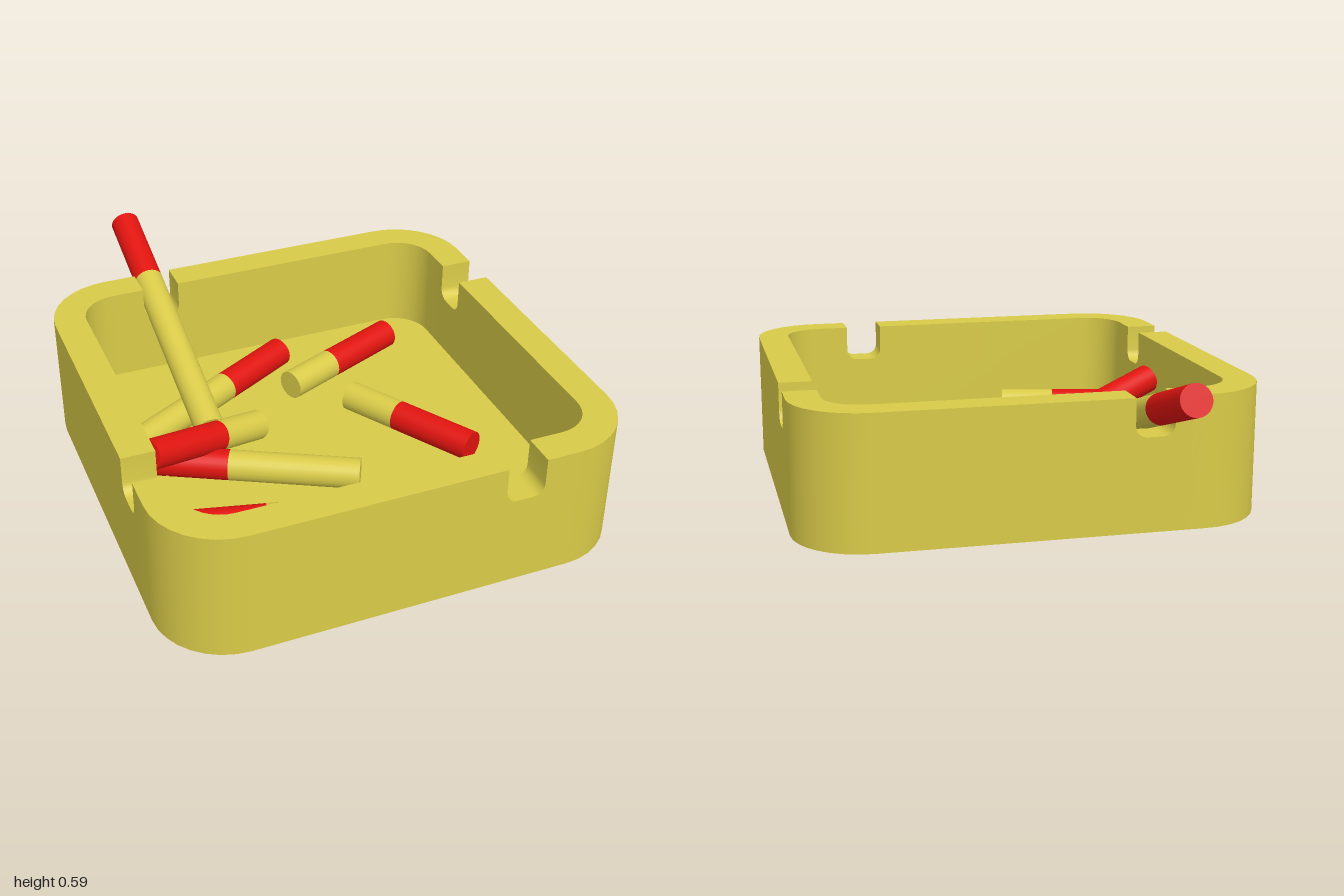
import * as THREE from 'three';
import { toCreasedNormals } from 'three/addons/utils/BufferGeometryUtils.js';

const YELLOW = new THREE.MeshStandardMaterial({ color: 0xd8ca48 });
const RED = new THREE.MeshStandardMaterial({ color: 0xe0140f });

const HALF = 0.825, WALL = 0.118, HEIGHT = 0.472, FLOOR = 0.115, CORNER = 0.255;
const NOTCH = { at: 0.38, half: 0.07, bottom: 0.335, fillet: 0.04 };
const STICK_RADIUS = 0.055;

// Wall stations of one side, then its corner: outer point, inner point, rim height
function sideStations() {
  const flat = HALF - CORNER, list = [];
  const straight = (u, top) => list.push({ o: [u, HALF], i: [u, HALF - WALL], top });
  const { at, half, bottom, fillet } = NOTCH;
  straight(-flat, HEIGHT);
  straight(at - half, HEIGHT);
  const steps = 5;
  for (const s of [-1, 1]) {
    for (let k = 0; k <= steps; k++) {
      const a = ((s < 0 ? k : steps - k) / steps) * Math.PI / 2;
      straight(at + s * (half - fillet + fillet * Math.cos(a)), bottom + fillet * (1 - Math.sin(a)));
    }
  }
  straight(at + half, HEIGHT);
  const segments = 8;
  for (let k = 0; k < segments; k++) {
    const a = (k / segments) * Math.PI / 2;
    const p = r => [flat + r * Math.sin(a), flat + r * Math.cos(a)];
    list.push({ o: p(CORNER), i: p(CORNER - WALL), top: HEIGHT });
  }
  return list;
}

// Square tray: the four identical sides joined into one closed surface
function trayGeometry() {
  const stations = [];
  let side = sideStations();
  const turn = ([x, z]) => [z, -x];
  for (let k = 0; k < 4; k++) {
    stations.push(...side);
    side = side.map(s => ({ o: turn(s.o), i: turn(s.i), top: s.top }));
  }
  const pos = [];
  const at = ([x, z], y) => [x, y, z];
  const tri = (a, b, c) => pos.push(...a, ...b, ...c);
  const quad = (a, b, c, d) => { tri(a, b, c); tri(a, c, d); };
  stations.forEach((a, n) => {
    const b = stations[(n + 1) % stations.length];
    quad(at(a.o, a.top), at(b.o, b.top), at(b.i, b.top), at(a.i, a.top)); // rim
    if (Math.hypot(a.o[0] - b.o[0], a.o[1] - b.o[1]) < 1e-6) return;
    quad(at(a.o, 0), at(b.o, 0), at(b.o, b.top), at(a.o, a.top)); // outside
    quad(at(b.i, FLOOR), at(a.i, FLOOR), at(a.i, a.top), at(b.i, b.top)); // inside
    tri([0, FLOOR, 0], at(a.i, FLOOR), at(b.i, FLOOR)); // floor
    tri([0, 0, 0], at(b.o, 0), at(a.o, 0)); // underside
  });
  const geo = new THREE.BufferGeometry();
  geo.setAttribute('position', new THREE.Float32BufferAttribute(pos, 3));
  return toCreasedNormals(geo, 0.5);
}

// One stick: red part from the red end, yellow part for the rest
function stick(name, yellowEnd, redEnd, redLength) {
  const group = new THREE.Group();
  group.name = name;
  const from = new THREE.Vector3(...yellowEnd), to = new THREE.Vector3(...redEnd);
  const dir = to.clone().sub(from);
  const length = dir.length();
  const part = (partName, start, end, material) => {
    const geo = new THREE.CylinderGeometry(STICK_RADIUS, STICK_RADIUS, end - start, 28);
    geo.translate(0, (start + end) / 2, 0);
    const mesh = new THREE.Mesh(geo, material);
    mesh.name = partName;
    group.add(mesh);
  };
  part('yellowPart', 0, length - redLength, YELLOW);
  part('redPart', length - redLength, length, RED);
  group.position.copy(from);
  group.quaternion.setFromUnitVectors(new THREE.Vector3(0, 1, 0), dir.normalize());
  return group;
}

export function createModel() {
  const model = new THREE.Group();
  model.name = 'ashtray';

  const tray = new THREE.Mesh(trayGeometry(), YELLOW);
  tray.name = 'tray';
  tray.position.z = 0.175;
  model.add(tray);

  // Stick resting in the back notch
  model.add(stick('leaningStick', [-0.39, 0.2, 0.07], [-0.39, 0.535, -0.982], 0.33));

  // Sticks lying in the tray: yellow end, red end, red length
  const y = FLOOR + STICK_RADIUS;
  const lying = [
    [[-0.637, y, 0.01], [0.048, y, -0.375], 0.325],
    [[0.003, y, -0.133], [0.497, y, -0.345], 0.325],
    [[0.19, y, 0.018], [0.465, y, 0.48], 0.32],
    [[0.027, y, 0.48], [-0.67, y, 0.11], 0.325],
    [[-0.21, 0.18, 0.08], [-0.683, 0.32, 0.3], 0.335],
    [[-0.165, y, 0.648], [-0.688, y, 0.518], 0.33],
  ];
  lying.forEach(([a, b, red], n) => model.add(stick(`lyingStick${n + 1}`, a, b, red)));
  return model;
}
